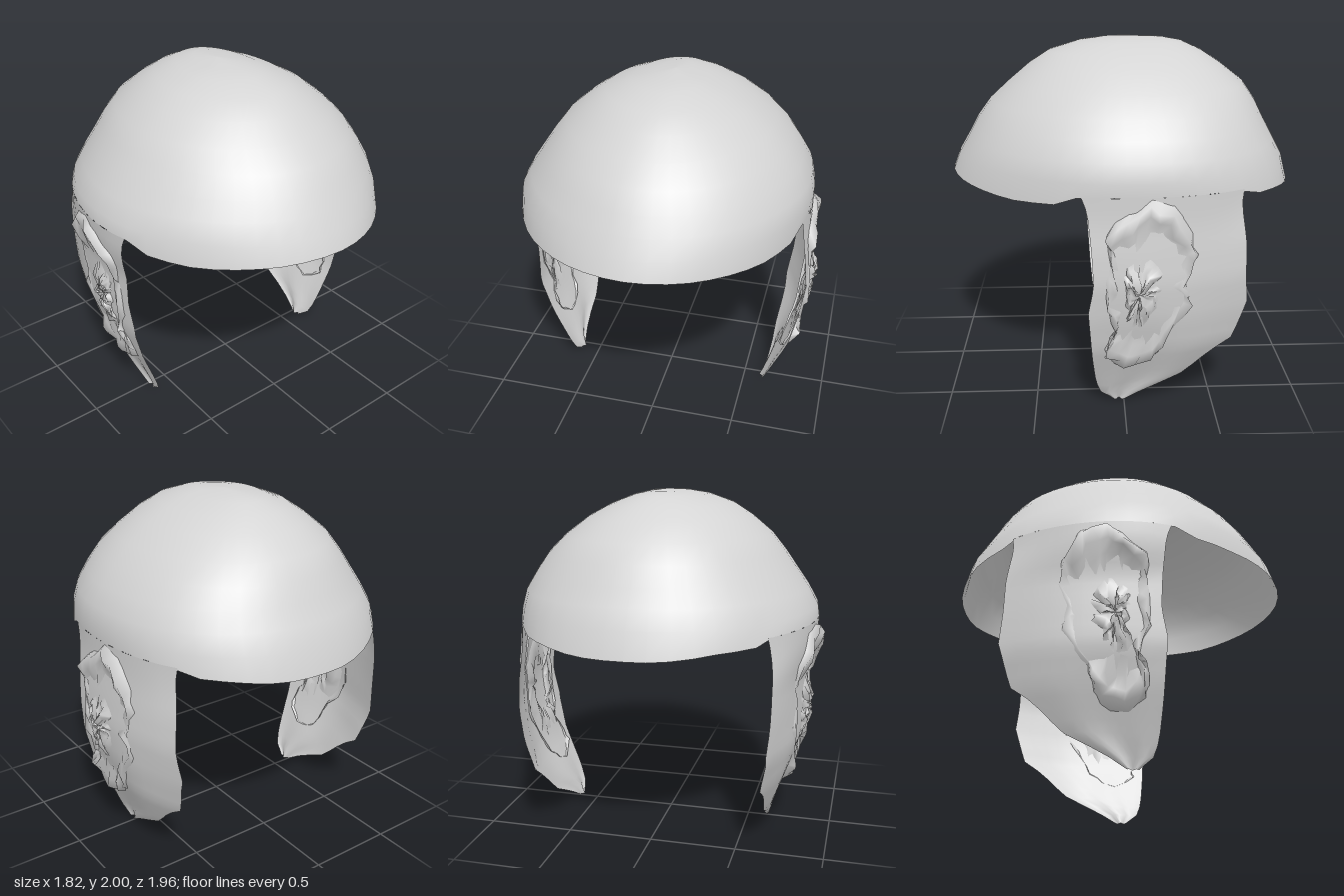
import * as THREE from 'three';

// Piecewise-linear lookup: table rows are [key, value, value...] with rising keys
function lookup(table, key, col = 1) {
  const last = table.length - 1;
  if (key <= table[0][0]) return table[0][col];
  for (let i = 0; i < last; i++) {
    const a = table[i], b = table[i + 1];
    if (key <= b[0]) return a[col] + (b[col] - a[col]) * (key - a[0]) / (b[0] - a[0]);
  }
  return table[last][col];
}

// Surface through a grid of points: rows go up, columns go right as seen from outside
function gridSurface(rows, cols, point, wrap = false) {
  const pos = [], index = [];
  const n = wrap ? cols : cols + 1;
  for (let i = 0; i <= rows; i++)
    for (let j = 0; j < n; j++) pos.push(...point(i, j));
  for (let i = 0; i < rows; i++)
    for (let j = 0; j < cols; j++) {
      const a = i * n + j, b = i * n + (j + 1) % n;
      index.push(a, b, b + n, a, b + n, a + n);
    }
  const g = new THREE.BufferGeometry();
  g.setAttribute('position', new THREE.Float32BufferAttribute(pos, 3));
  g.setIndex(index);
  g.computeVertexNormals();
  return g;
}

function seeded(seed) {
  return () => {
    seed = (seed * 16807) % 2147483647;
    return seed / 2147483647;
  };
}

// Dome rings: height, right reach, left reach, front reach, back reach
const DOME = [
  [1.25, 0.885, 0.83, 0.98, 0.98], [1.35, 0.875, 0.83, 0.94, 0.94],
  [1.45, 0.82, 0.81, 0.88, 0.885], [1.55, 0.75, 0.75, 0.825, 0.83],
  [1.65, 0.68, 0.68, 0.75, 0.78], [1.75, 0.60, 0.58, 0.64, 0.71],
  [1.85, 0.48, 0.45, 0.52, 0.58], [1.92, 0.37, 0.32, 0.41, 0.47],
  [1.97, 0.23, 0.19, 0.25, 0.36], [1.99, 0.11, 0.10, 0.12, 0.26], [2.0, 0, 0, 0, 0.1],
];
// Height of the lower rim along z
const RIM_TOP = 1.28;
const RIM = [[-0.97, 1.2], [-0.85, 1.23], [-0.68, 1.24], [-0.6, RIM_TOP], [0.24, RIM_TOP],
  [0.35, 1.23], [0.6, 1.22], [0.9, 1.24], [0.98, 1.25]];

// Flap edges: height, front z, back z
const FLAP = [[0, 0.06, 0.0], [0.03, 0.12, -0.04], [0.1, 0.15, -0.17], [0.18, 0.165, -0.33],
  [0.33, 0.18, -0.48], [0.41, 0.185, -0.6], [0.64, 0.2, -0.67], [0.8, 0.17, -0.655],
  [1.0, 0.18, -0.65], [1.2, 0.2, -0.62], [RIM_TOP, 0.23, -0.63]];
// Flap distance from the centre plane: height, right, left
const REACH = [[0, 0.61, 0.61], [0.2, 0.68, 0.69], [0.4, 0.76, 0.78], [0.6, 0.82, 0.83],
  [0.8, 0.83, 0.855], [1.0, 0.835, 0.845], [1.25, 0.87, 0.825]];

// Ear outline as [z, y], clockwise as seen from the wearer's right
const EAR = [[0.11, 1.1], [-0.02, 1.2], [-0.13, 1.28], [-0.25, 1.23], [-0.36, 1.08],
  [-0.37, 0.95], [-0.33, 0.8], [-0.36, 0.66], [-0.22, 0.46], [-0.17, 0.34], [-0.08, 0.27],
  [0.0, 0.26], [0.11, 0.33], [0.11, 0.42], [0.06, 0.52], [0.11, 0.68], [0.1, 0.85], [0.1, 0.97]];
// Ear relief: distance from centre, height above the flap, roughness
const RELIEF = [[0, 0.01, 0.03], [0.12, 0.025, 0.05], [0.24, 0.015, 0.05], [0.35, 0.008, 0.05],
  [0.45, -0.015, 0.02], [0.65, -0.014, 0.03], [0.8, 0.004, 0.04], [0.92, 0.018, 0.035],
  [1, -0.012, 0.01]];

// Outline exponent of the dome: fullest at the back left, leaner at the front
function fullness(x, z) {
  if (z >= 0) return 1.88;
  return x > 0 ? 2.33 : 1.97;
}

// Distance of the rim from the centre plane
function rimX(side, z) {
  const [, right, left, front, back] = DOME[0];
  const p = fullness(side, z);
  const depth = Math.abs(z) / (z < 0 ? back : front);
  return (side < 0 ? right : left) * (1 - depth ** p) ** (1 / p);
}

function flapX(side, y, z) {
  const hanging = lookup(REACH, y, side < 0 ? 1 : 2) - 0.13 * (z / 0.65) ** 2;
  // Blends into the rim at the top
  return side * THREE.MathUtils.lerp(hanging, rimX(side, z), THREE.MathUtils.smoothstep(y, 0.95, RIM_TOP));
}

function dome() {
  const cols = 48;
  return gridSurface(DOME.length - 1, cols, (i, j) => {
    const [y, right, left, front, back] = DOME[i];
    const t = j / cols * Math.PI * 2, s = Math.sin(t), c = Math.cos(t);
    const p = fullness(s, c);
    const k = (Math.abs(s) ** p + Math.abs(c) ** p) ** (-1 / p);
    const x = s * k * (s < 0 ? right : left);
    // The crown sits slightly behind the centre
    const z = i === DOME.length - 1 ? -0.08 : c * k * (c < 0 ? back : front);
    return [x, i === 0 ? lookup(RIM, z) : y, z];
  }, true);
}

function flap(side) {
  const rows = 22, cols = 10;
  return gridSurface(rows, cols, (i, j) => {
    const y = RIM_TOP * i / rows;
    const u = side > 0 ? j / cols : 1 - j / cols;
    const z = THREE.MathUtils.lerp(lookup(FLAP, y, 1), lookup(FLAP, y, 2), u);
    // Gentle crease in the lower half
    const crease = 0.012 * Math.sin(u * 9 + y * 5) * Math.max(0, 1 - y / 0.9);
    return [flapX(side, y, z) + side * crease, y, z];
  });
}

function ear(side) {
  const random = seeded(side > 0 ? 71 : 29);
  const n = EAR.length * 2, rings = RELIEF.length - 1;
  return gridSurface(rings, n, (i, j) => {
    const [r, height, rough] = RELIEF[rings - i];
    const step = side > 0 ? (n - j) % n : j;
    const a = EAR[step >> 1], b = EAR[((step + 1) >> 1) % EAR.length];
    const inner = i < rings ? 1 : 0;
    const jitter = () => (random() - 0.5) * 0.035 * inner;
    const z = -0.07 + ((a[0] + b[0]) / 2 + 0.07) * r + jitter();
    const y = 0.76 + ((a[1] + b[1]) / 2 - 0.76) * r + jitter();
    // The upper fold and the lobe stand out over a wider band
    const swell = i > 0 ? THREE.MathUtils.clamp((Math.abs(y - 0.76) - 0.2) * 0.2, 0, 0.02) : 0;
    const lift = height + swell + (random() - 0.5) * rough * inner;
    return [flapX(side, y, z) + side * lift, y, z];
  }, true);
}

export function createModel() {
  const group = new THREE.Group();
  const shell = new THREE.MeshStandardMaterial({ color: 0xd4d4d4, side: THREE.DoubleSide });
  shell.name = 'light grey';

  const add = (name, geometry) => {
    const mesh = new THREE.Mesh(geometry, shell);
    mesh.name = name;
    group.add(mesh);
  };

  add('capDome', dome());
  for (const side of [-1, 1]) {
    const label = side < 0 ? 'right' : 'left';
    add(label + 'EarFlap', flap(side));
    // Crumpled ear relief pushing through the flap
    add(label + 'EarRelief', ear(side));
  }
  return group;
}
